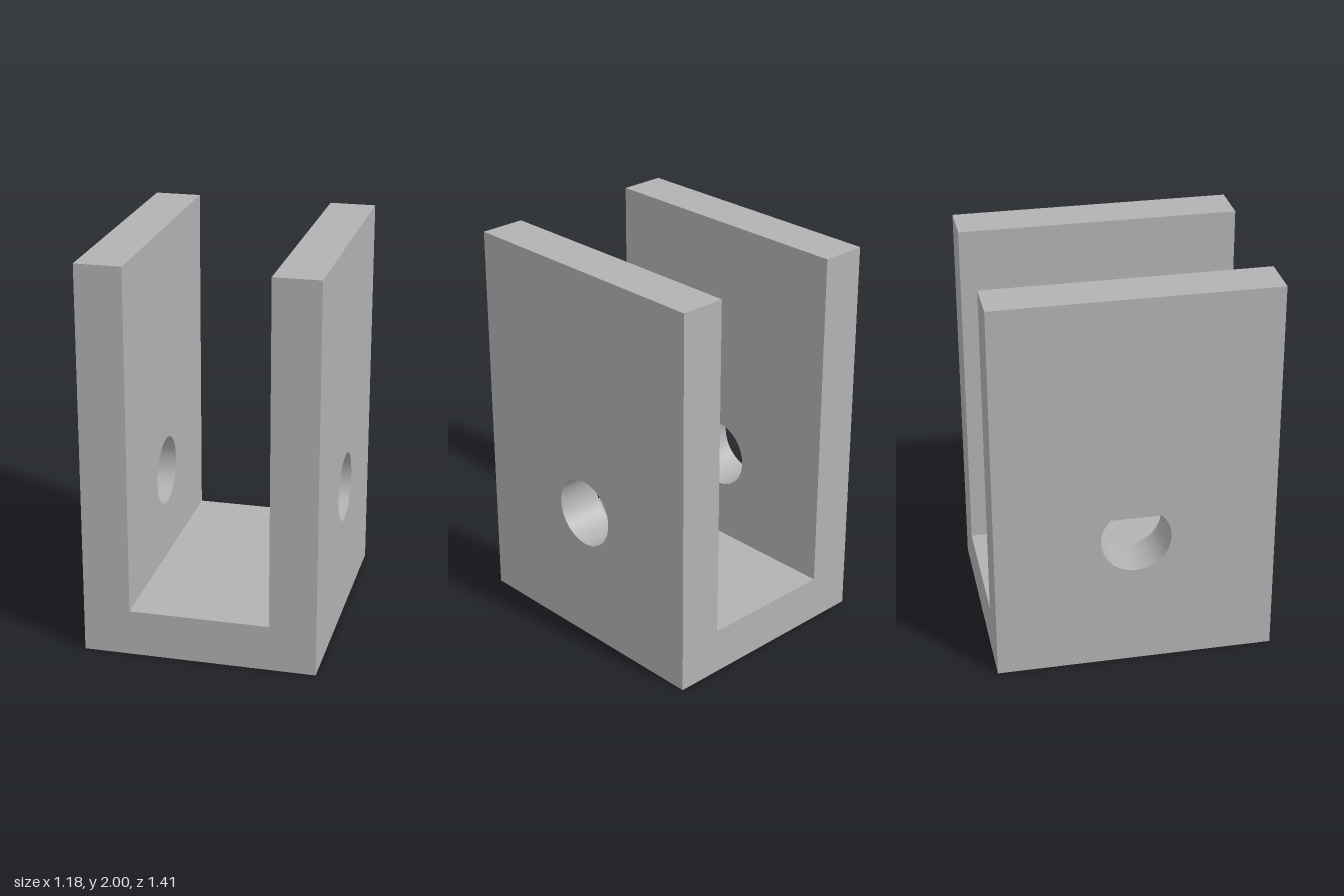
import * as THREE from 'three';
import { toCreasedNormals } from 'three/addons/utils/BufferGeometryUtils.js';

const HEIGHT = 2, DEPTH = 1.412, WALL = 0.235, INNER = 0.706;
const HOLE_Y = 0.706, HOLE_R = 0.177;

// Upright plate with a round pin hole, its thickness centred along x
function wallGeometry() {
  const d = DEPTH / 2;
  const shape = new THREE.Shape([
    new THREE.Vector2(-d, 0), new THREE.Vector2(d, 0),
    new THREE.Vector2(d, HEIGHT), new THREE.Vector2(-d, HEIGHT),
  ]);
  const hole = new THREE.Path();
  hole.absarc(0, HOLE_Y, HOLE_R, 0, Math.PI * 2, true);
  shape.holes.push(hole);
  const geo = new THREE.ExtrudeGeometry(shape, { depth: WALL, bevelEnabled: false, curveSegments: 48 });
  geo.translate(0, 0, -WALL / 2);
  geo.rotateY(Math.PI / 2);
  return toCreasedNormals(geo, Math.PI / 6);
}

export function createModel() {
  const group = new THREE.Group();
  group.name = 'clevisBracket';
  const grey = new THREE.MeshStandardMaterial({ color: 0xb2b2b2 });
  grey.name = 'plain grey';

  // Two side walls
  const wall = wallGeometry();
  for (const [name, side] of [['leftWall', 1], ['rightWall', -1]]) {
    const mesh = new THREE.Mesh(wall, grey);
    mesh.name = name;
    mesh.position.x = side * (INNER + WALL) / 2;
    group.add(mesh);
  }

  // Floor joining the walls
  const floor = new THREE.Mesh(new THREE.BoxGeometry(INNER, WALL, DEPTH), grey);
  floor.name = 'floor';
  floor.position.y = WALL / 2;
  group.add(floor);

  return group;
}
